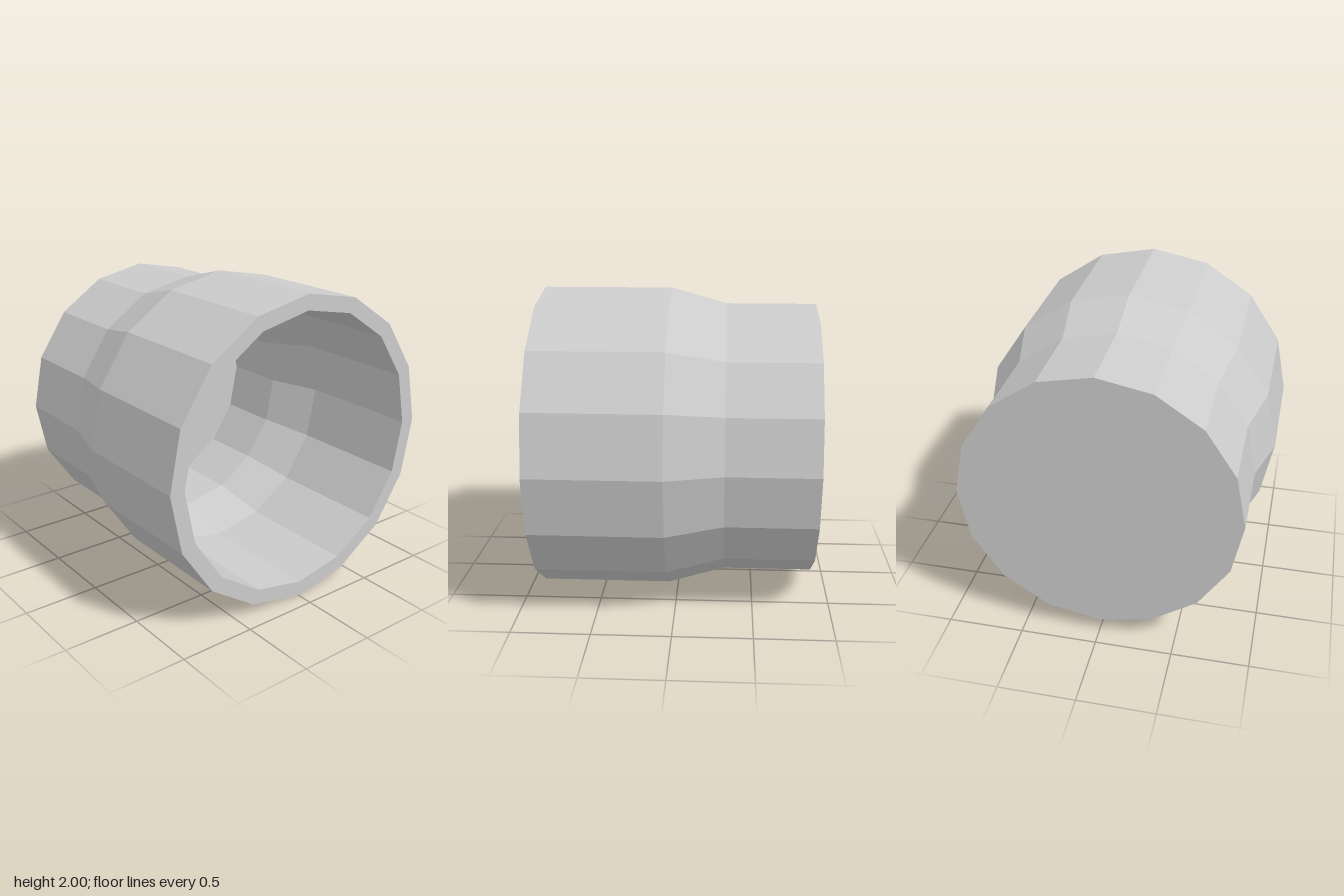
import * as THREE from 'three';

export function createModel() {
  const group = new THREE.Group();
  const material = new THREE.MeshStandardMaterial({ color: 0xcccccc, flatShading: true });

  // [radius, z] from the closed back, along the outside, over the rim and down to the inner floor
  const profile = [
    [0, -0.89], [0.9, -0.89], [0.9, -0.31], [1, 0.05], [1, 0.89],
    [0.9, 0.89], [0.9, 0.05], [0.8, -0.31], [0.8, -0.75], [0, -0.75],
  ].map(([r, z]) => new THREE.Vector2(r, z));

  // Sixteen-sided stepped cup, turned so its opening faces the front
  const geometry = new THREE.LatheGeometry(profile, 16);
  geometry.rotateX(Math.PI / 2);
  const cup = new THREE.Mesh(geometry, material);
  cup.name = 'steppedCup';
  cup.position.y = 1;
  group.add(cup);

  return group;
}
